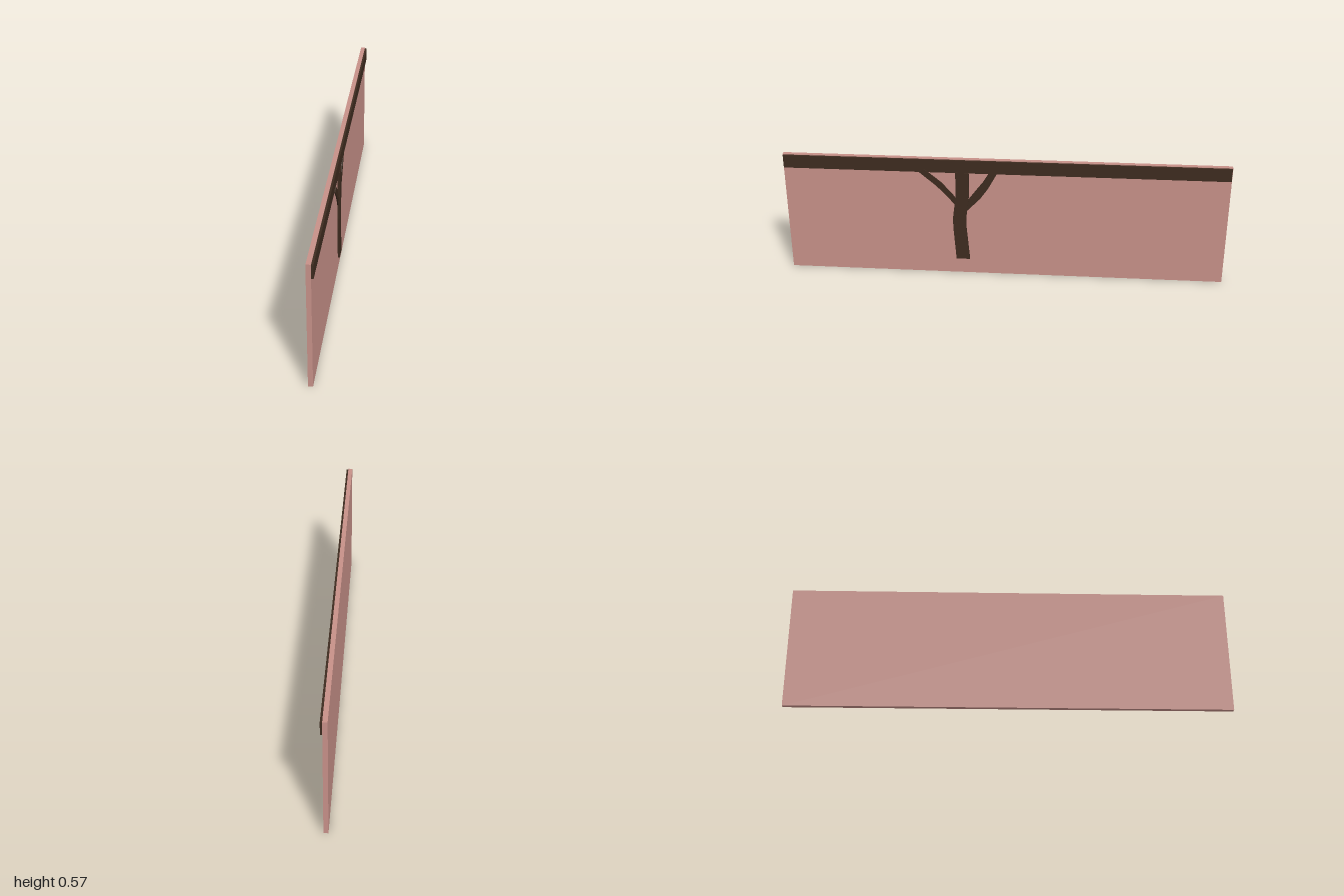
import * as THREE from 'three';

const pink = new THREE.MeshStandardMaterial({ color: 0xc69088, flatShading: true });
const brown = new THREE.MeshStandardMaterial({ color: 0x3d2b1f, flatShading: true });

export function createModel() {
  const group = new THREE.Group();

  function add(name, geometry, material) {
    const mesh = new THREE.Mesh(geometry, material);
    mesh.name = name;
    group.add(mesh);
  }

  // Box given by its x and y ranges, running along z
  function slab(name, x0, x1, y0, y1, length, material) {
    const g = new THREE.BoxGeometry(x1 - x0, y1 - y0, length);
    g.translate((x0 + x1) / 2, (y0 + y1) / 2, 0);
    add(name, g, material);
  }

  // Flat timber outlined by [z, y] points; its inner face leans from xLow to xHigh
  function timber(name, outline, xLow, xHigh, thickness) {
    const shape = new THREE.Shape(outline.map(([z, y]) => new THREE.Vector2(-z, y)));
    const g = new THREE.ExtrudeGeometry(shape, { depth: thickness, bevelEnabled: false });
    g.rotateY(Math.PI / 2);
    const ys = outline.map(p => p[1]);
    const y0 = Math.min(...ys), y1 = Math.max(...ys);
    const p = g.attributes.position;
    for (let i = 0; i < p.count; i++) {
      p.setX(i, p.getX(i) + xLow + (xHigh - xLow) * (p.getY(i) - y0) / (y1 - y0));
    }
    g.computeVertexNormals();
    add(name, g, brown);
  }

  // Wall panel and the beam along its top
  slab('wallPanel', -0.018, 0.002, 0, 0.573, 2, pink);
  slab('topBeam', 0.002, 0.011, 0.51, 0.57, 1.995, brown);

  // Slightly bowed post
  timber('post', [
    [0.222, 0.077], [0.234, 0.24], [0.234, 0.29], [0.22, 0.4], [0.22, 0.512],
    [0.16, 0.512], [0.16, 0.4], [0.174, 0.29], [0.174, 0.24], [0.16, 0.077],
  ], 0.005, 0.005, 0.009);

  // Curved braces on either side of the post
  timber('frontBrace', [
    [0.205, 0.325], [0.25, 0.383], [0.305, 0.443], [0.385, 0.513],
    [0.36, 0.526], [0.285, 0.463], [0.235, 0.405], [0.195, 0.345],
  ], 0.003, 0.011, 0.005);
  timber('backBrace', [
    [0.17, 0.322], [0.185, 0.35], [0.13, 0.424], [0.095, 0.47], [0.06, 0.53],
    [0.03, 0.518], [0.075, 0.435], [0.11, 0.385],
  ], 0.002, 0.006, 0.005);

  return group;
}
